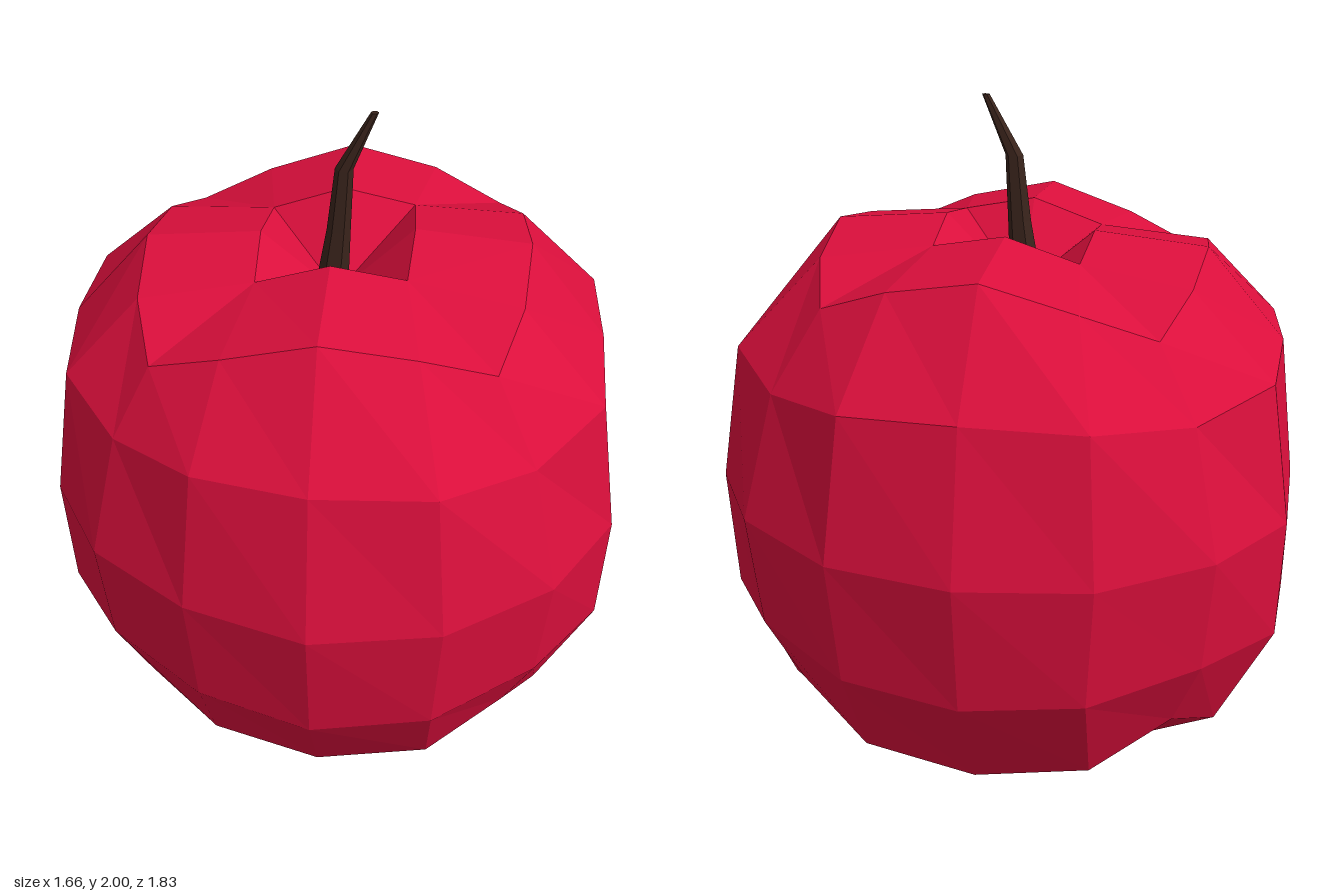
import * as THREE from 'three';

// Skin between rings of points, listed from top to bottom.
function loft(rings, color, name) {
  const pos = [];
  const tri = new THREE.Triangle();
  const add = (a, b, c) => {
    if (tri.set(a, b, c).getArea() > 1e-6) for (const p of [a, b, c]) pos.push(p.x, p.y, p.z);
  };
  for (let i = 0; i < rings.length - 1; i++) {
    const n = rings[i].length;
    for (let j = 0; j < n; j++) {
      const k = (j + 1) % n;
      add(rings[i][j], rings[i][k], rings[i + 1][j]);
      add(rings[i][k], rings[i + 1][k], rings[i + 1][j]);
    }
  }
  const geo = new THREE.BufferGeometry();
  geo.setAttribute('position', new THREE.Float32BufferAttribute(pos, 3));
  geo.computeVertexNormals();
  const mesh = new THREE.Mesh(geo, new THREE.MeshStandardMaterial({ color, flatShading: true }));
  mesh.name = name;
  return mesh;
}

// Sixteen-point ring: side middle, quarter point and corner, turned through four sides.
function fruitRing([xMax, mid, qa, qb, c, yMid, yQ, yC]) {
  const side = [[mid, 0, yMid], [qa, qb, yQ], [c, c, yC], [qb, qa, yQ]];
  const pts = [];
  for (let s = 0; s < 4; s++) {
    for (const [a, b, y] of side) {
      let [x, z] = [[a, b], [-b, a], [-a, -b], [b, -a]][s];
      x = THREE.MathUtils.clamp(x, -xMax, xMax);
      // The front left bulges less, and the left shoulder sits lower.
      if (x < -0.1 && z > 0.1 && y > 0.2 && y < 1.4) { x *= 0.965; z *= 0.95; }
      const drop = y > 1.45 && x < -0.1 ? 0.03 : 0;
      pts.push(new THREE.Vector3(x, y - drop, z));
    }
  }
  return pts;
}

function stemRing([x, y, r]) {
  return Array.from({ length: 6 }, (_, i) => {
    const a = (i / 6) * Math.PI * 2;
    return new THREE.Vector3(x + r * Math.cos(a), y, r * Math.sin(a));
  });
}

export function createModel() {
  const group = new THREE.Group();
  group.name = 'apple';

  // Fruit: stem hollow, rim, crown, shoulder, belly, underside, feet, base dimple
  const fruit = [
    [1, 0, 0, 0, 0, 1.43, 1.43, 1.43],
    [0.25, 0.22, 0.21, 0.21, 0.21, 1.65, 1.61, 1.61],
    [0.55, 0.56, 0.53, 0.26, 0.465, 1.62, 1.57, 1.49],
    [0.78, 0.81, 0.77, 0.33, 0.58, 1.325, 1.31, 1.275],
    [0.83, 0.913, 0.85, 0.36, 0.655, 0.91, 0.91, 0.92],
    [0.83, 0.865, 0.82, 0.34, 0.63, 0.515, 0.54, 0.58],
    [0.66, 0.68, 0.66, 0.33, 0.55, 0.17, 0.22, 0.35],
    [0.35, 0.36, 0.33, 0.33, 0.33, 0.005, 0.085, 0.085],
    [1, 0, 0, 0, 0, 0.16, 0.16, 0.16],
  ];
  group.add(loft(fruit.map(fruitRing), 0xdc0f3c, 'fruit'));

  // Stem, bent towards its tip
  const stem = [
    [0.105, 2.0, 0], [0.1, 2.0, 0.011], [0.018, 1.83, 0.026],
    [0.003, 1.64, 0.034], [-0.02, 1.42, 0.05], [-0.02, 1.42, 0],
  ];
  group.add(loft(stem.map(stemRing), 0x3a241c, 'stem'));
  return group;
}
